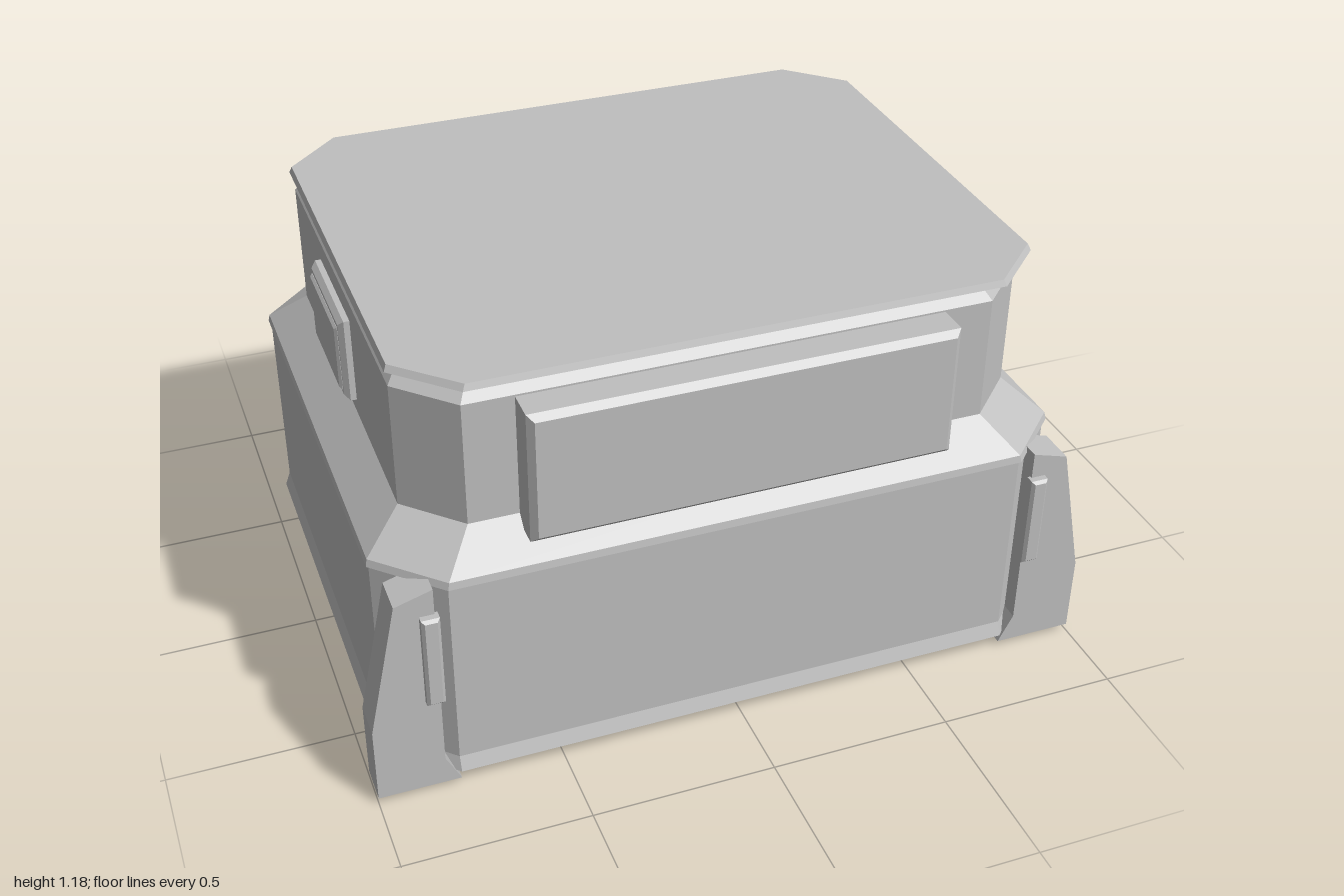
import * as THREE from 'three';

// Octagonal section: [y, halfWidth, frontZ, backZ, cornerCutX, cornerCutZ]
function ring([y, hx, zf, zb, cx, cz]) {
  const ix = hx - cx;
  return [
    [hx, y, zf - cz], [hx, y, zb + cz], [ix, y, zb], [-ix, y, zb],
    [-hx, y, zb + cz], [-hx, y, zf - cz], [-ix, y, zf], [ix, y, zf],
  ];
}

// Closed, faceted solid through a stack of octagonal sections
function loft(sections) {
  const rings = sections.map(ring);
  const pos = [];
  const tri = (a, b, c) => pos.push(...a, ...b, ...c);
  for (let k = 0; k < rings.length - 1; k++) {
    for (let i = 0; i < 8; i++) {
      const j = (i + 1) % 8;
      const lo = rings[k], hi = rings[k + 1];
      tri(lo[i], lo[j], hi[j]);
      tri(lo[i], hi[j], hi[i]);
    }
  }
  const bottom = rings[0], top = rings[rings.length - 1];
  for (let i = 1; i < 7; i++) {
    tri(bottom[0], bottom[i + 1], bottom[i]);
    tri(top[0], top[i], top[i + 1]);
  }
  const g = new THREE.BufferGeometry();
  g.setAttribute('position', new THREE.Float32BufferAttribute(pos, 3));
  g.computeVertexNormals();
  return g;
}

// Rectangular plate with chamfered edges, from z = 0 to z = depth
function plate(w, h, depth, bevel) {
  const s = new THREE.Shape();
  s.moveTo(-w / 2, -h / 2);
  s.lineTo(w / 2, -h / 2);
  s.lineTo(w / 2, h / 2);
  s.lineTo(-w / 2, h / 2);
  s.closePath();
  const g = new THREE.ExtrudeGeometry(s, {
    depth: depth - 2 * bevel, bevelEnabled: true, bevelThickness: bevel,
    bevelSize: bevel, bevelOffset: -bevel, bevelSegments: 1,
  });
  return g.translate(0, 0, bevel);
}

export function createModel() {
  const group = new THREE.Group();
  const grey = new THREE.MeshStandardMaterial({ color: 0xbfbfbf, flatShading: true });
  grey.name = 'plainGrey';

  const add = (name, geometry, x = 0, y = 0, z = 0, rotY = 0) => {
    const m = new THREE.Mesh(geometry, grey);
    m.name = name;
    m.position.set(x, y, z);
    m.rotation.y = rotY;
    group.add(m);
    return m;
  };

  // Lower case with flared foot
  add('lowerCase', loft([
    [0, 0.89, 0.72, -0.735, 0.15, 0.15],
    [0.045, 0.955, 0.78, -0.8, 0.175, 0.17],
    [0.085, 0.94, 0.765, -0.785, 0.16, 0.155],
    [0.64, 0.94, 0.765, -0.785, 0.16, 0.155],
  ]));

  // Rim and sloping shoulder
  add('shoulder', loft([
    [0.627, 0.935, 0.763, -0.783, 0.16, 0.155],
    [0.635, 0.947, 0.775, -0.795, 0.165, 0.16],
    [0.655, 0.943, 0.771, -0.791, 0.165, 0.16],
    [0.745, 0.84, 0.675, -0.69, 0.14, 0.14],
  ]));

  // Upper case with chamfered top
  add('upperCase', loft([
    [0.74, 0.84, 0.675, -0.69, 0.14, 0.14],
    [1.09, 0.84, 0.675, -0.69, 0.14, 0.14],
    [1.15, 0.795, 0.62, -0.64, 0.13, 0.13],
  ]));

  // Overhanging lid
  add('lid', loft([
    [1.145, 0.83, 0.7, -0.645, 0.145, 0.14],
    [1.16, 0.855, 0.727, -0.667, 0.15, 0.145],
    [1.177, 0.848, 0.72, -0.662, 0.15, 0.145],
  ]));

  // Raised panel on the upper front
  add('frontPanel', plate(1.135, 0.37, 0.125, 0.017), 0, 0.9, 0.65);

  for (const [side, s] of [['left', 1], ['right', -1]]) {
    // Tapered corner bracket
    const outline = [[1, 0.02], [1, 0.24], [0.92, 0.62], [0.82, 0.65], [0.82, 0.1], [0.78, 0.02]];
    const shape = new THREE.Shape(outline.map(([x, y]) => new THREE.Vector2(s * x, y)));
    add(side + 'Bracket',
      new THREE.ExtrudeGeometry(shape, { depth: 0.105, bevelEnabled: false }), 0, 0, 0.67);

    // Small upright grip on the bracket
    add(side + 'Grip', plate(0.048, 0.27, 0.04, 0.008), s * 0.835, 0.44, 0.76);

    // Side hatch: chamfered frame and inner face
    const turn = s * Math.PI / 2;
    add(side + 'HatchFrame', plate(0.345, 0.24, 0.05, 0.014), s * 0.82, 0.91, -0.0625, turn);
    add(side + 'HatchFace', plate(0.305, 0.19, 0.058, 0.007), s * 0.82, 0.91, -0.0625, turn);
  }

  return group;
}
